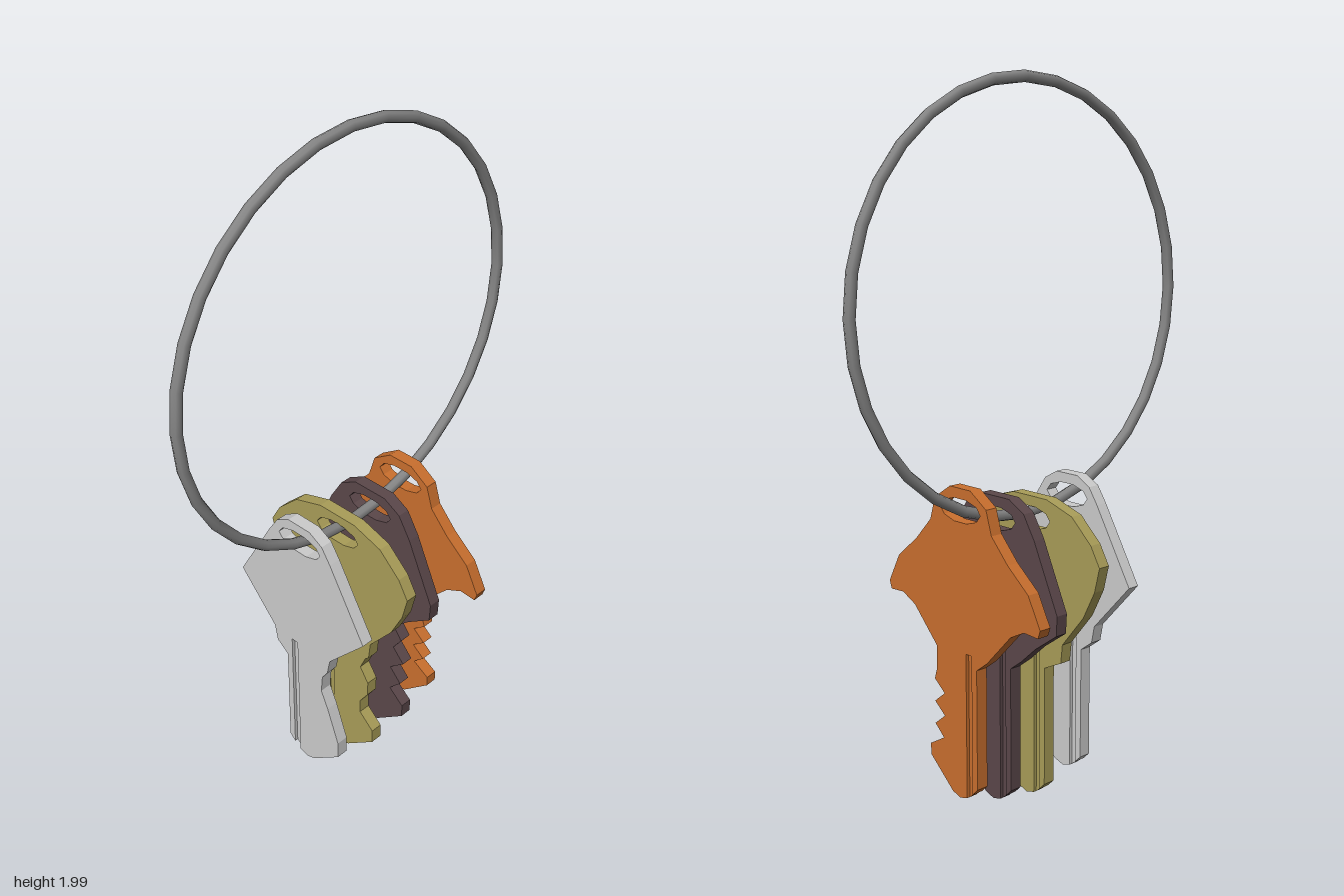
import * as THREE from 'three';

const THICK = 0.036;
const BACK = -0.06;              // plain edge of every blade
const GROOVE = [-0.018, -0.04];  // z limits of the milled groove
const GROOVE_TOP = 0.49;

const toPoints = (pairs) => pairs.map(([z, y]) => new THREE.Vector2(z, y));

// Extrudes a z-y outline into a plate centred on x = 0
function plate(shape, depth) {
  const geo = new THREE.ExtrudeGeometry(shape, { depth, bevelEnabled: false });
  geo.translate(0, 0, -depth / 2);
  return geo.rotateY(-Math.PI / 2);
}

// head: half outline as [half width, y] from the top down, mirrored in z
// teeth: evenly spaced cut depths down the front edge of the blade
function makeKey(name, color, x, tip, head, teeth) {
  const key = new THREE.Group();
  key.name = name;
  const material = new THREE.MeshStandardMaterial({ color, flatShading: true });
  const [g0, g1] = GROOVE;
  const headTop = head[0][1];
  const headEnd = head[head.length - 1][1];

  // Toothed edge from just under the head to just above the tip
  const first = 0.42, last = tip + 0.09;
  const cuts = teeth.map((z, i) => [z, THREE.MathUtils.lerp(first, last, i / (teeth.length - 1))]);

  // Head and blade in one outline, with the groove slotted up from the tip
  const outline = new THREE.Shape(toPoints([
    ...head.map(([w, y]) => [-w, y]),
    [BACK, headEnd - 0.03], [BACK, tip + 0.045],
    [g1, tip + 0.025], [g1, GROOVE_TOP], [g0, GROOVE_TOP], [g0, tip + 0.008],
    [0.01, tip], [0.04, tip + 0.01],
    ...cuts.reverse(),
    ...[...head].reverse(),
  ]));

  // Flattened hole for the ring
  const hole = new THREE.Path();
  hole.absellipse(0, headTop - 0.06, 0.078, 0.033, 0, Math.PI * 2);
  outline.holes.push(new THREE.Path(hole.getPoints(5)));
  const body = new THREE.Mesh(plate(outline, THICK), material);
  body.name = 'keyBody';

  // Thin web left at the bottom of the groove
  const web = new THREE.Shape(toPoints([[g1, tip + 0.025], [g0, tip + 0.008], [g0, GROOVE_TOP], [g1, GROOVE_TOP]]));
  const floor = new THREE.Mesh(plate(web, THICK * 0.45), material);
  floor.name = 'grooveFloor';

  key.add(body, floor);
  key.position.x = x;
  key.rotation.y = 0.033;
  return key;
}

export function createModel() {
  const model = new THREE.Group();
  model.name = 'keyRing';

  // Large ring, turned slightly about the vertical
  const ring = new THREE.Mesh(
    new THREE.TorusGeometry(0.575, 0.0155, 8, 32),
    new THREE.MeshStandardMaterial({ color: 0x858585 }));
  ring.name = 'ring';
  ring.position.y = 1.409;
  ring.rotation.y = 0.028;
  model.add(ring);

  // Angular head
  model.add(makeKey('silverKey', 0xcccccc, -0.175, 0.05,
    [[0.04, 0.92], [0.085, 0.895], [0.115, 0.85], [0.237, 0.64], [0.11, 0.5], [0.1, 0.45]],
    [0.08, 0.075, 0.1, 0.12, 0.14, 0.14]));

  // Broad round head
  model.add(makeKey('brassKey', 0xa99d58, -0.035, 0.01,
    [[0.065, 0.88], [0.16, 0.85], [0.23, 0.785], [0.262, 0.73], [0.245, 0.66], [0.205, 0.58], [0.128, 0.485], [0.122, 0.43]],
    [0.11, 0.09, 0.12, 0.12, 0.09, 0.09, 0.14, 0.14]));

  // Head widening downwards
  model.add(makeKey('brownKey', 0x5b474a, 0.09, 0.03,
    [[0.055, 0.9], [0.11, 0.87], [0.15, 0.805], [0.235, 0.62], [0.232, 0.565], [0.155, 0.51], [0.1, 0.46]],
    [0.13, 0.1, 0.14, 0.09, 0.13, 0.09, 0.14, 0.14]));

  // Winged head
  model.add(makeKey('orangeKey', 0xc96f2e, 0.21, 0.07,
    [[0.04, 0.94], [0.1, 0.9], [0.12, 0.835], [0.18, 0.77], [0.255, 0.708], [0.298, 0.625], [0.29, 0.602],
      [0.24, 0.605], [0.19, 0.58], [0.1, 0.485]],
    [0.1, 0.11, 0.07, 0.11, 0.07, 0.11, 0.075, 0.13, 0.13]));

  return model;
}
